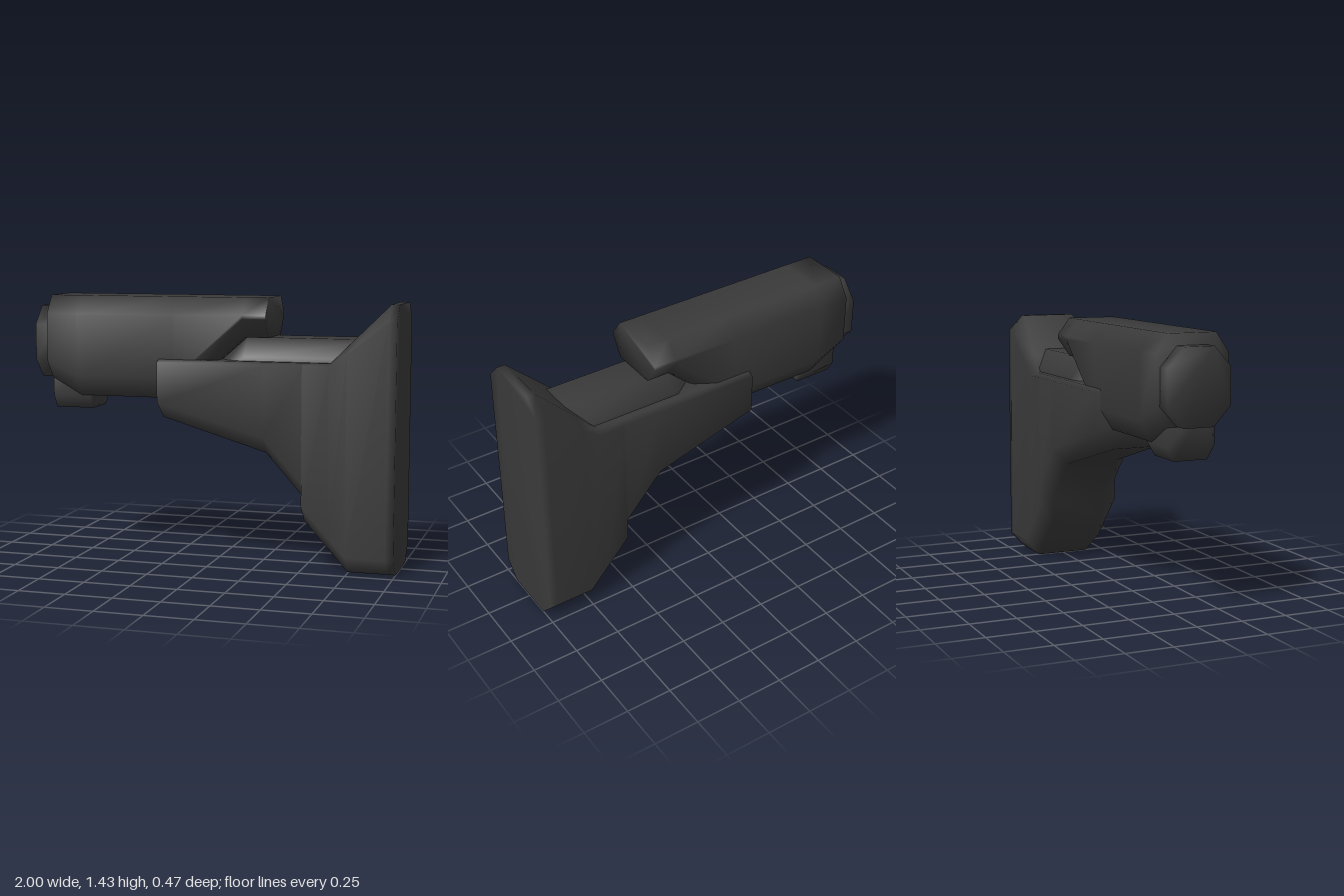
import * as THREE from 'three';

// Smooth loft along x through eight-sided sections.
// Each section: [x, bottom, top, halfWidth, bottomHalf, bottomChamfer, topHalf, topChamfer]
function loft(sections) {
  const positions = [];
  const index = [];
  for (const [x, bot, top, w, bh, bc, th, tc] of sections) {
    const ring = [
      [th, top], [w, top - tc], [w, bot + bc], [bh, bot],
      [-bh, bot], [-w, bot + bc], [-w, top - tc], [-th, top],
    ];
    for (const [z, y] of ring) positions.push(x, y, z);
  }
  const n = 8;
  for (let s = 0; s < sections.length - 1; s++) {
    for (let k = 0; k < n; k++) {
      const a = s * n + k;
      const b = s * n + (k + 1) % n;
      index.push(a, b, a + n, b, b + n, a + n);
    }
  }
  const last = (sections.length - 1) * n;
  for (let k = 1; k < n - 1; k++) {
    index.push(0, k + 1, k);
    index.push(last, last + k, last + k + 1);
  }
  const geometry = new THREE.BufferGeometry();
  geometry.setAttribute('position', new THREE.Float32BufferAttribute(positions, 3));
  geometry.setIndex(index);
  geometry.computeVertexNormals();
  return geometry;
}

export function createModel() {
  const group = new THREE.Group();
  const polymer = new THREE.MeshStandardMaterial({ color: 0x3a3a3a });
  polymer.name = 'dark polymer';

  const add = (name, sections) => {
    const mesh = new THREE.Mesh(loft(sections), polymer);
    mesh.name = name;
    group.add(mesh);
  };

  // Narrow collar at the coupling end
  const collar = [0.98, 1.37, 0.17, 0.08, 0.1, 0.08, 0.1];
  add('collar', [[-1, ...collar], [-0.88, ...collar]]);

  // Main sleeve: underside rises at both ends
  add('sleeve', [
    [-0.92, 0.98, 1.43, 0.2, 0.13, 0.09, 0.13, 0.1],
    [-0.75, 0.885, 1.43, 0.2, 0.13, 0.11, 0.13, 0.1],
    [-0.2, 0.885, 1.43, 0.2, 0.13, 0.11, 0.13, 0.1],
    [0.18, 1.22, 1.43, 0.2, 0.13, 0.1, 0.13, 0.09],
    [0.305, 1.22, 1.43, 0.2, 0.13, 0.1, 0.13, 0.09],
  ]);

  // Lug below the sleeve
  add('lug', [
    [-0.915, 0.81, 1.1, 0.13, 0.09, 0.07, 0.09, 0.05],
    [-0.7, 0.81, 1.1, 0.13, 0.09, 0.07, 0.09, 0.05],
    [-0.69, 0.83, 1.1, 0.13, 0.09, 0.06, 0.09, 0.05],
  ]);

  // Inner rail bridging sleeve and butt
  add('innerRail', [
    [0.04, 0.9, 1.1, 0.17, 0.09, 0.06, 0.09, 0.06],
    [0.18, 0.9, 1.22, 0.17, 0.09, 0.1, 0.09, 0.1],
    [0.88, 0.9, 1.22, 0.17, 0.09, 0.1, 0.09, 0.1],
  ]);

  // Shoulder butt: flares from the slim front to the tall end face
  const lower = [0.235, 0.15, 0.09];
  add('butt', [
    [-0.28, 0.78, 1.1, 0.235, 0.12, 0.09, 0.2, 0.015],
    [0.3, 0.615, 1.1, ...lower, 0.2, 0.015],
    [0.51, 0.38, 1.1, ...lower, 0.2, 0.015],
    [0.51, 0.26, 1.1, ...lower, 0.2, 0.015],
    [0.65, 0.105, 1.1, ...lower, 0.19, 0.02],
    [0.745, 0, 1.197, ...lower, 0.175, 0.045],
    [0.955, 0, 1.405, ...lower, 0.15, 0.085],
    [1, 0, 1.405, ...lower, 0.15, 0.085],
  ]);

  return group;
}
